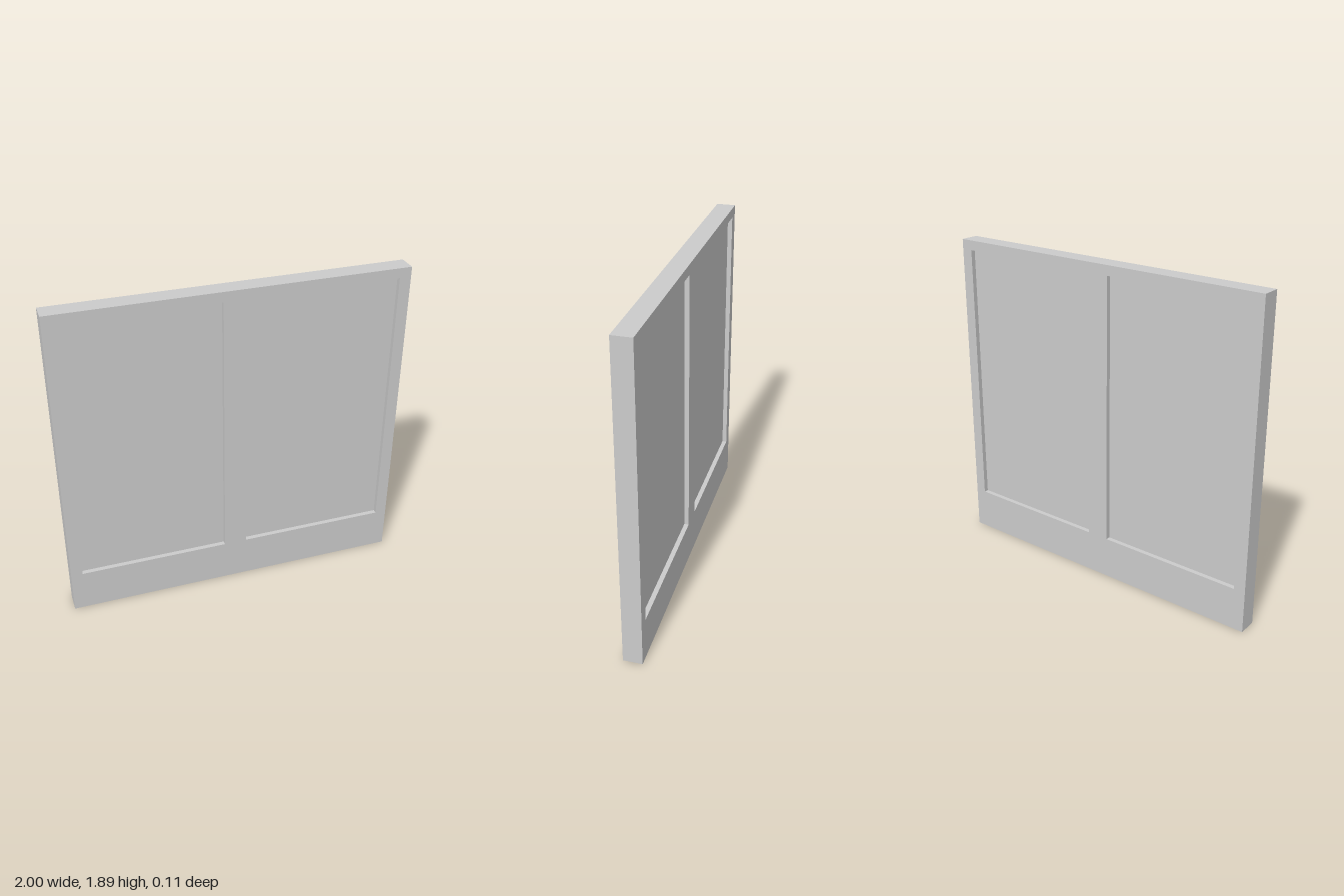
import * as THREE from 'three';

const HEIGHT = 1.89, DEPTH = 0.11, RECESS = 0.027;
const OPENING = { inner: 0.067, outer: 0.933, bottom: 0.25, top: 1.833 };

// Traces a rectangle onto a Shape or Path
function rect(path, x0, y0, x1, y1) {
  path.moveTo(x0, y0);
  path.lineTo(x1, y0);
  path.lineTo(x1, y1);
  path.lineTo(x0, y1);
  path.closePath();
  return path;
}

export function createModel() {
  const model = new THREE.Group();
  model.name = 'twoPanelWindow';
  const material = new THREE.MeshStandardMaterial({ color: 0xcccccc });
  const { inner, outer, bottom, top } = OPENING;

  // Frame with a deep bottom rail and two openings
  const outline = rect(new THREE.Shape(), -1, 0, 1, HEIGHT);
  for (const side of [-1, 1]) {
    const [x0, x1] = [side * inner, side * outer].sort((a, b) => a - b);
    outline.holes.push(rect(new THREE.Path(), x0, bottom, x1, top));
  }
  const frameGeometry = new THREE.ExtrudeGeometry(outline, { depth: DEPTH, bevelEnabled: false });
  frameGeometry.translate(0, 0, -DEPTH / 2);
  const frame = new THREE.Mesh(frameGeometry, material);
  frame.name = 'frame';
  model.add(frame);

  // Panels set back from both faces of the frame
  for (const side of [-1, 1]) {
    const panel = new THREE.Mesh(
      new THREE.BoxGeometry(outer - inner, top - bottom, DEPTH - 2 * RECESS),
      material
    );
    panel.name = side > 0 ? 'leftPanel' : 'rightPanel';
    panel.position.set(side * (inner + outer) / 2, (bottom + top) / 2, 0);
    model.add(panel);
  }
  return model;
}
